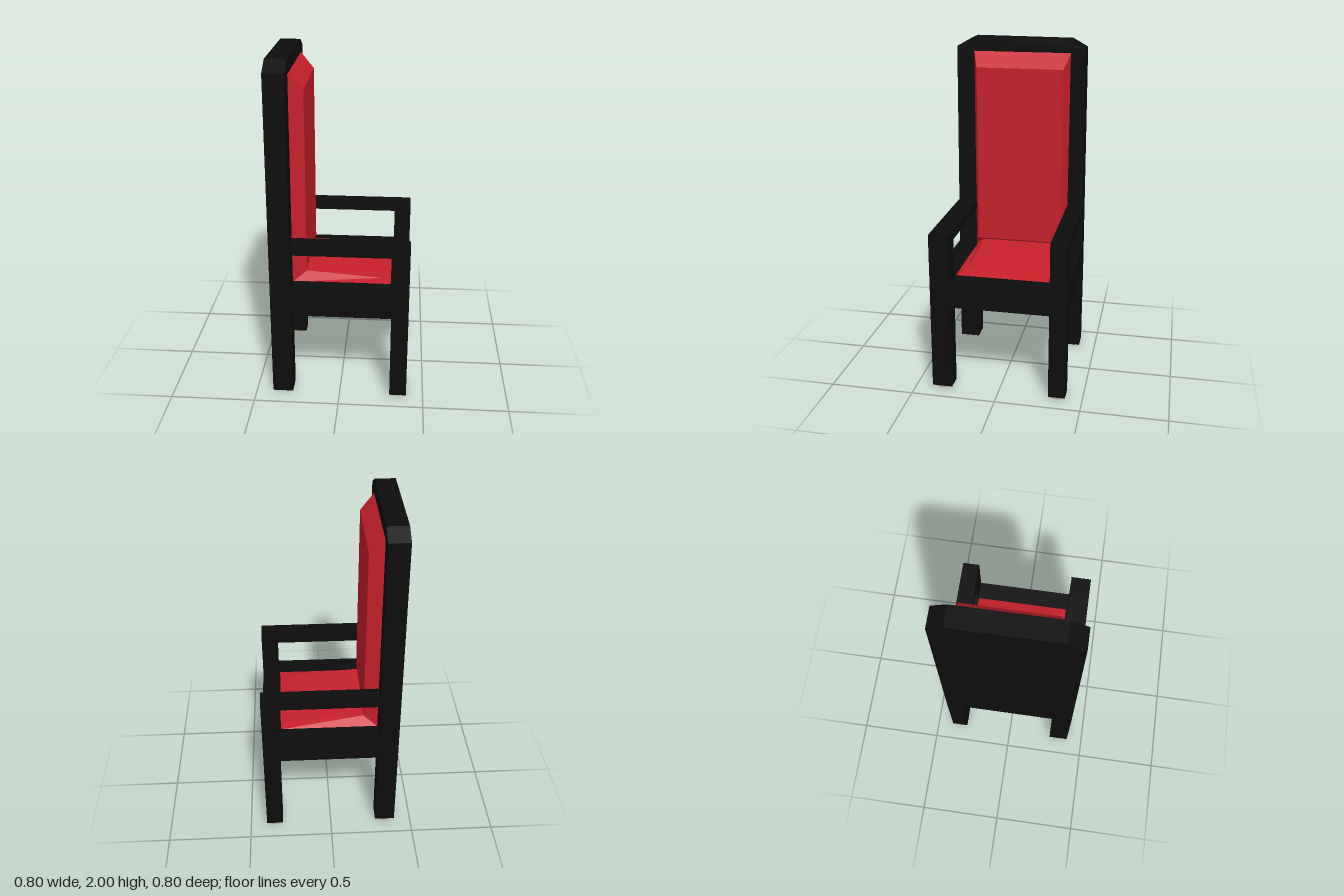
import * as THREE from 'three';

const black = new THREE.MeshStandardMaterial({ color: 0x0d0d0d, flatShading: true });
const red = new THREE.MeshStandardMaterial({ color: 0xc8202a, flatShading: true });
const footTan = new THREE.MeshStandardMaterial({ color: 0xb0a890, flatShading: true });

export function createModel() {
  const chair = new THREE.Group();

  const add = (name, geometry, material) => {
    const mesh = new THREE.Mesh(geometry, material);
    mesh.name = name;
    chair.add(mesh);
    return mesh;
  };

  // Box given by its limits on each axis
  const block = (name, [x0, x1], [y0, y1], [z0, z1]) =>
    add(name, new THREE.BoxGeometry(x1 - x0, y1 - y0, z1 - z0), black)
      .position.set((x0 + x1) / 2, (y0 + y1) / 2, (z0 + z1) / 2);

  // Box whose corners are moved by a rule: rule(hiX, hiY, hiZ) -> [x, y, z]
  const cushion = (name, rule) => {
    const geometry = new THREE.BoxGeometry(1, 1, 1);
    const p = geometry.attributes.position;
    for (let i = 0; i < p.count; i++) {
      p.setXYZ(i, ...rule(p.getX(i) > 0, p.getY(i) > 0, p.getZ(i) > 0));
    }
    geometry.computeVertexNormals();
    add(name, geometry, red);
  };

  // The seat looks along +x
  const back = [-0.4, -0.28], front = [0.3, 0.4];
  const sides = [['left', [0.28, 0.4]], ['right', [-0.4, -0.3]]];

  // Legs, feet, arm posts and armrests
  for (const [side, z] of sides) {
    for (const [end, x] of [['Back', back], ['Front', front]]) {
      block(`${side}${end}Leg`, x, [0.01, 0.53], z);
      add(`${side}${end}Foot`, new THREE.CylinderGeometry(0.05, 0.05, 0.012, 16), footTan)
        .position.set((x[0] + x[1]) / 2, 0.006, (z[0] + z[1]) / 2);
    }
    block(`${side}ArmPost`, front, [0.69, 0.97], z);
    block(`${side}Armrest`, [-0.28, 0.3], [0.915, 0.97], z);
  }

  // Seat frame
  block('seatFrame', [-0.28, 0.4], [0.53, 0.69], [-0.4, 0.4]);

  // Back panel with clipped top corners (shape x becomes -z)
  const outline = [
    [-0.4, 0.53], [0.4, 0.53], [0.39, 1.945], [0.3, 1.995], [-0.29, 2], [-0.39, 1.945],
  ].map(([x, y]) => new THREE.Vector2(x, y));
  const panel = new THREE.ExtrudeGeometry(new THREE.Shape(outline), { depth: 0.12, bevelEnabled: false });
  panel.rotateY(Math.PI / 2);
  add('backPanel', panel, black).position.x = -0.4;

  // Seat cushion: bevelled, sloping down to the front
  cushion('seatCushion', (fx, up, fz) => [
    fx ? (up ? 0.24 : 0.3) : -0.28,
    up ? (fx ? 0.702 : 0.741) : 0.688,
    fz ? (up ? 0.22 : 0.28) : (up ? -0.24 : -0.3),
  ]);

  // Back cushion: bevelled on all four edges
  cushion('backCushion', (out, up, fz) => [
    out ? -0.2 : -0.282,
    up ? (out ? 1.83 : 1.92) : (out ? 0.75 : 0.69),
    fz ? (out ? 0.253 : 0.285) : (out ? -0.27 : -0.303),
  ]);

  return chair;
}
